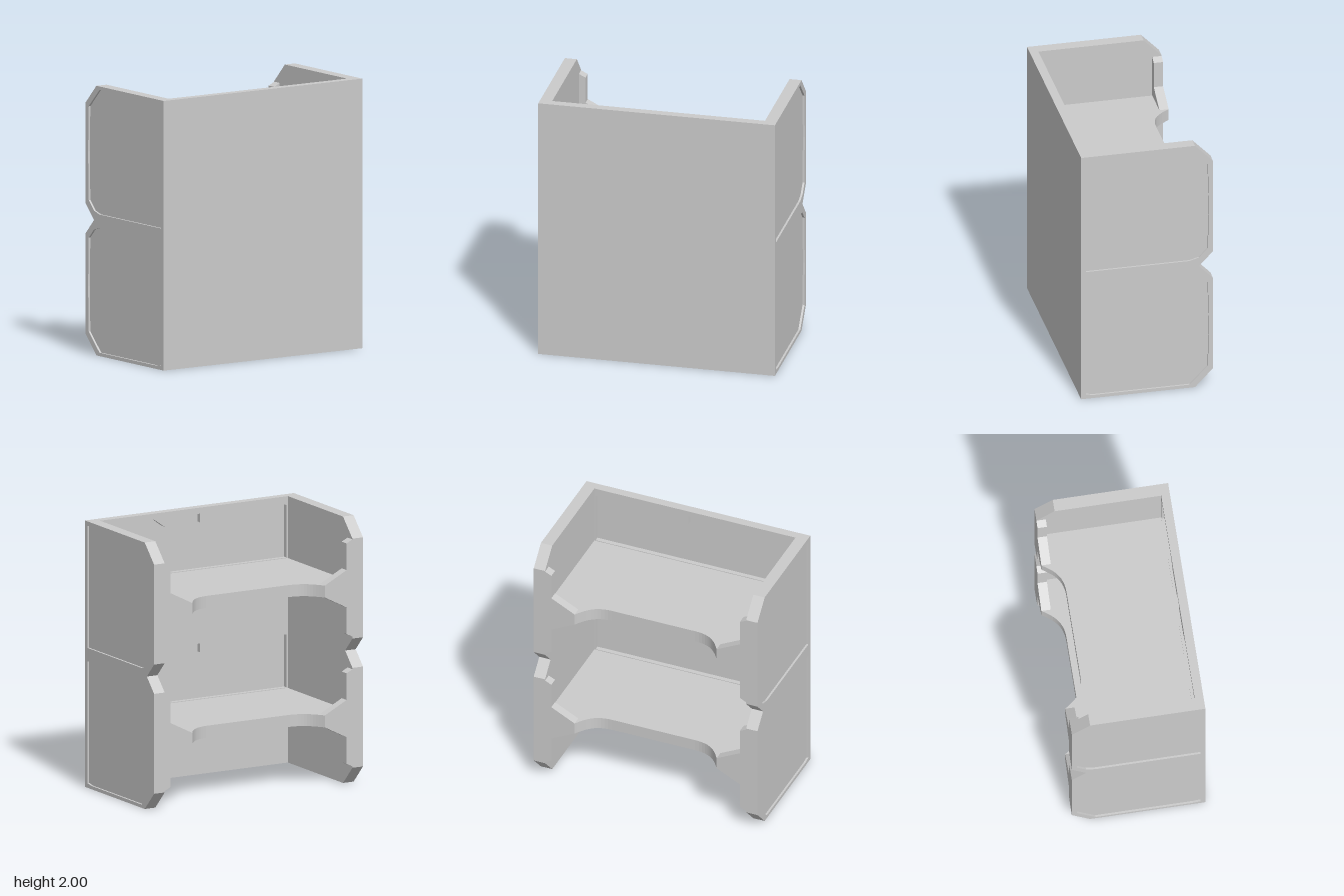
import * as THREE from 'three';

const mat = new THREE.MeshStandardMaterial({ color: 0xcccccc, flatShading: true });
const V = (pts) => pts.map(([x, y]) => new THREE.Vector2(x, y));

// Extrude an outline (with optional holes) to a given depth
function slab(outline, depth, holes = []) {
  const shape = new THREE.Shape(V(outline));
  holes.forEach((h) => shape.holes.push(new THREE.Path(V(h))));
  return new THREE.ExtrudeGeometry(shape, { depth, bevelEnabled: false });
}

export function createModel() {
  const model = new THREE.Group();
  const add = (name, geometry) => {
    const mesh = new THREE.Mesh(geometry, mat);
    mesh.name = name;
    model.add(mesh);
  };

  const W = 0.495, D = 0.89, INNER = 0.8, BACK = 0.43;
  const shelfTops = [0.56, 1.535], shelfThick = 0.09;

  // End walls: chamfered double outline with two recessed panels on the outside
  const outline = [[W, 0], [W, 2], [-0.36, 2], [-W, 1.86], [-W, 1.11], [-0.39, 1],
    [-W, 0.89], [-W, 0.14], [-0.36, 0]];
  const upperPanel = [[-0.32, 1.975], [0.4, 1.975], [0.46, 1.965], [0.46, 1.05], [-0.32, 1.05],
    [-0.39, 1.07], [-0.457, 1.14], [-0.465, 1.5], [-0.457, 1.835]];
  const lowerPanel = upperPanel.map(([x, y]) => [x, 2 - y]);
  const recess = 0.015;
  for (const s of [1, -1]) {
    const side = s > 0 ? 'front' : 'rear';
    add(side + 'EndWall', slab(outline, D - recess - INNER)
      .translate(0, 0, s > 0 ? INNER : -D + recess));
    add(side + 'EndFrame', slab(outline, recess, [upperPanel, lowerPanel])
      .translate(0, 0, s > 0 ? D - recess : -D));
  }

  // Long closed wall: thin outer sheet and an inner liner with stepped openings
  const sheet = 0.03;
  add('longWall', new THREE.BoxGeometry(sheet, 2, 2 * INNER).translate(W - sheet / 2, 1, 0));
  const openings = shelfTops.map((y) => {
    const half = [[0.05, 0.42], [0.05, 0.355], [0.25, 0.355], [0.34, 0.42], [0.7, 0.42], [0.79, 0.4], [0.79, 0.005]];
    const right = half.map(([z, h]) => [z, y + h]);
    return [...right, ...right.map(([z, h]) => [-z, h]).reverse()];
  });
  const liner = [[-INNER, 0], [INNER, 0], [INNER, 2], [-INNER, 2]];
  add('wallLiner', slab(liner, W - sheet - BACK, openings)
    .rotateY(Math.PI / 2).translate(BACK, 0, 0));

  // Shelves with a scooped open edge, and a pair of corner guards on each
  const scoop = new THREE.CubicBezierCurve(
    ...V([[-0.345, 0.33], [-0.345, 0.46], [-0.41, 0.51], [-W, 0.565]])).getPoints(12).map((p) => [p.x, p.y]);
  const halfShelf = [...scoop, [-W, INNER], [BACK + 0.035, INNER]];
  const shelfOutline = [...halfShelf, ...halfShelf.map(([x, z]) => [x, -z]).reverse()];
  const guardHalf = [[INNER, 0.365], [0.75, 0.34], [0.75, 0.14], [0.565, 0.045]];
  const guardOutline = [...guardHalf, ...guardHalf.map(([z, h]) => [z, -h]).reverse()];

  shelfTops.forEach((top, i) => {
    const tier = i ? 'upper' : 'lower';
    add(tier + 'Shelf', slab(shelfOutline, shelfThick)
      .rotateX(-Math.PI / 2).translate(0, top - shelfThick, 0));
    for (const s of [1, -1]) {
      const pts = guardOutline.map(([z, h]) => [-s * z, top - shelfThick / 2 + h]);
      add(tier + (s > 0 ? 'Front' : 'Rear') + 'CornerGuard',
        slab(pts, 0.07).rotateY(Math.PI / 2).translate(-W, 0, 0));
    }
  });
  return model;
}
